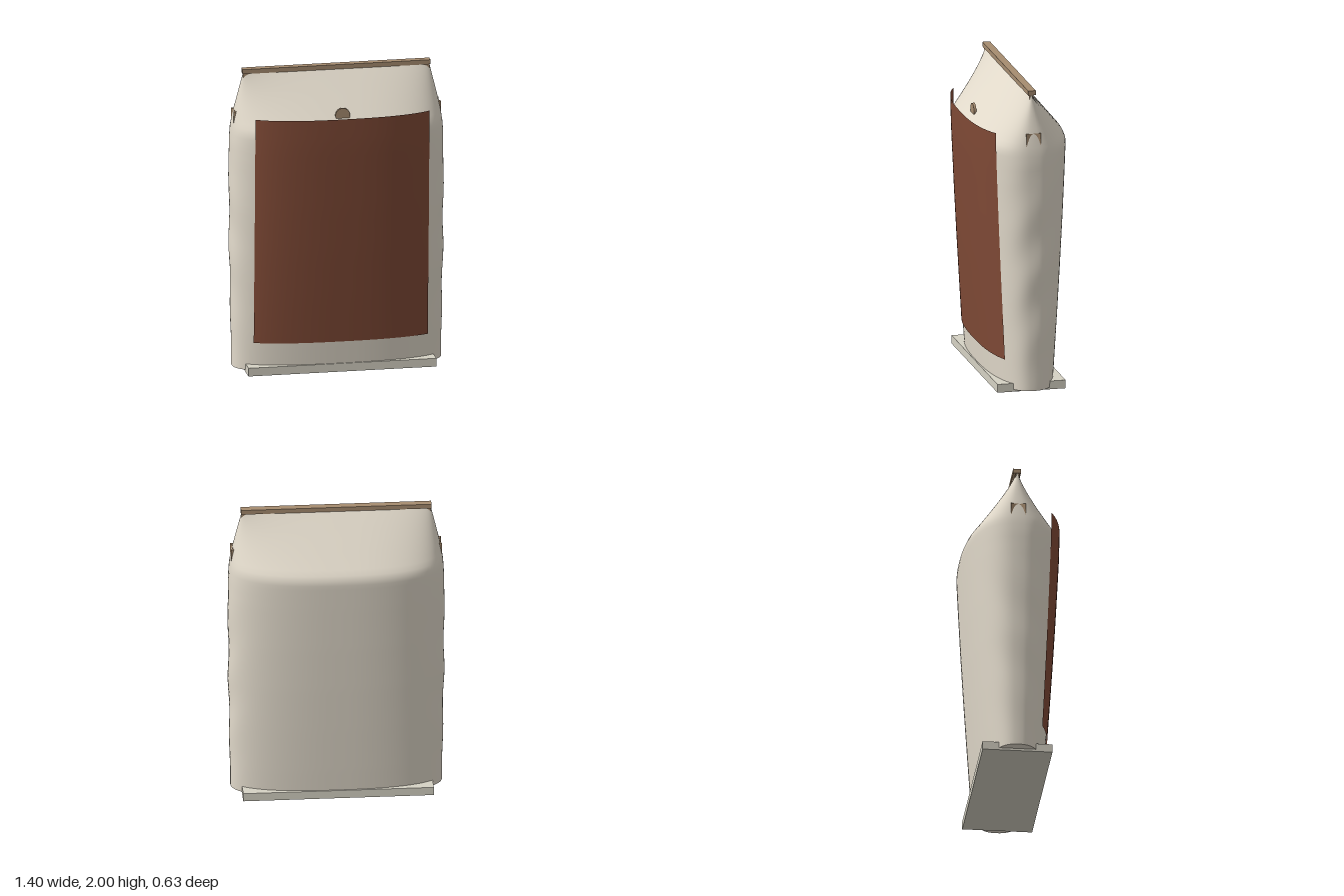
import * as THREE from 'three';

const CREAM = 0xe2dacb, KRAFT = 0xa68c70, BROWN = 0x804a36, BASE = 0xd6d2c4;
const POWER = 2.5; // superellipse exponent of the bag's cross-section

// Bag profile rows: height, half width, half depth
const PROFILE = [
  [0.015, 0.683, 0.215], [0.2, 0.687, 0.229], [0.5, 0.694, 0.25], [0.8, 0.699, 0.27],
  [1.1, 0.7, 0.288], [1.4, 0.699, 0.304], [1.52, 0.696, 0.31], [1.6, 0.69, 0.314],
  [1.63, 0.686, 0.304], [1.72, 0.67, 0.228], [1.85, 0.64, 0.12], [1.975, 0.61, 0.017],
];

function sizeAt(y) {
  let i = 0;
  while (i < PROFILE.length - 2 && y > PROFILE[i + 1][0]) i++;
  const a = PROFILE[i], b = PROFILE[i + 1], t = (y - a[0]) / (b[0] - a[0]);
  return [a[1] + (b[1] - a[1]) * t, a[2] + (b[2] - a[2]) * t];
}

const depthAt = (x, hx, hz) => hz * Math.pow(Math.max(0, 1 - Math.pow(Math.abs(x) / hx, POWER)), 1 / POWER);

function mat(color, side = THREE.FrontSide) {
  return new THREE.MeshStandardMaterial({ color, side });
}

function add(group, name, geometry, material, x = 0, y = 0, z = 0) {
  const mesh = new THREE.Mesh(geometry, material);
  mesh.name = name;
  mesh.position.set(x, y, z);
  group.add(mesh);
  return mesh;
}

// Grid surface from a point function of (u, v)
function surface(nu, nv, point) {
  const pos = [], idx = [];
  for (let j = 0; j <= nv; j++) for (let i = 0; i <= nu; i++) pos.push(...point(i / nu, j / nv));
  for (let j = 0; j < nv; j++) {
    for (let i = 0; i < nu; i++) {
      const a = j * (nu + 1) + i, b = a + 1, c = a + nu + 1, d = c + 1;
      idx.push(a, b, d, a, d, c);
    }
  }
  const g = new THREE.BufferGeometry();
  g.setAttribute('position', new THREE.Float32BufferAttribute(pos, 3));
  g.setIndex(idx);
  g.computeVertexNormals();
  return g;
}

// Point on the bag wall; the narrow sides carry faint diagonal folds
function bagPoint(angle, y) {
  const [hx, hz] = sizeAt(y);
  const c = Math.cos(angle), s = Math.sin(angle);
  const x = hx * Math.sign(s) * Math.pow(Math.abs(s), 2 / POWER);
  const z = hz * Math.sign(c) * Math.pow(Math.abs(c), 2 / POWER);
  const fade = Math.sin(Math.PI * Math.min(1, y / 1.6)) * Math.pow(Math.abs(s), 6);
  const fold = 1 - 0.006 * Math.max(0, fade) * (1 + Math.sin(y * 14 + z * 12));
  return [x * fold, y, z];
}

export function createModel() {
  const model = new THREE.Group();
  model.name = 'paperBag';

  // Pillowed bag wall, pinched flat at the top
  const wall = surface(96, 64, (u, v) => bagPoint(u * Math.PI * 2, 0.015 + v * 1.96));
  // Match normals across the seam at the front centre
  const n = wall.attributes.normal;
  for (let j = 0; j <= 64; j++) {
    const a = j * 97, b = a + 96;
    const m = new THREE.Vector3(n.getX(a) + n.getX(b), n.getY(a) + n.getY(b), n.getZ(a) + n.getZ(b)).normalize();
    n.setXYZ(a, m.x, m.y, m.z);
    n.setXYZ(b, m.x, m.y, m.z);
  }
  add(model, 'bagWall', wall, mat(CREAM, THREE.DoubleSide));

  // Flat underside of the bag
  const outline = [];
  for (let i = 0; i < 96; i++) {
    const p = bagPoint((i / 96) * Math.PI * 2, 0.015);
    outline.push(new THREE.Vector2(p[0], p[2]));
  }
  const floor = new THREE.ShapeGeometry(new THREE.Shape(outline)).rotateX(Math.PI / 2);
  add(model, 'bagFloor', floor, mat(CREAM, THREE.DoubleSide), 0, 0.015, 0);

  // Folded base: thin plate with a raised strip at front and back
  const base = mat(BASE);
  add(model, 'basePlate', new THREE.BoxGeometry(1.23, 0.02, 0.45), base, 0, 0.01, 0);
  for (const s of [1, -1]) {
    add(model, s > 0 ? 'frontBaseFold' : 'backBaseFold',
      new THREE.BoxGeometry(1.23, 0.055, 0.106), base, 0, 0.0275, s * 0.173);
  }

  // Folded top closure
  const kraft = mat(KRAFT);
  add(model, 'topStrip', new THREE.BoxGeometry(1.23, 0.03, 0.05), kraft, 0, 1.985, -0.003);
  add(model, 'topStripLowerFold', new THREE.BoxGeometry(1.22, 0.04, 0.024), kraft, 0, 1.955, 0);

  // Curved label wrapped over the front
  const label = surface(40, 24, (u, v) => {
    const x = (u * 2 - 1) * 0.57, y = 0.205 + v * 1.515;
    const hz = y < 1.55 ? sizeAt(y)[1] : 0.3115 + (y - 1.55) * 0.02;
    return [x, y, depthAt(x, 0.7, hz) + 0.006];
  });
  add(model, 'label', label, mat(BROWN, THREE.DoubleSide));

  // Round air valve half hidden behind the label
  const valve = new THREE.CylinderGeometry(0.048, 0.048, 0.016, 32).rotateX(Math.PI / 2);
  add(model, 'airValve', valve, kraft, 0, 1.722, 0.233);

  // Swallow-tailed tie tabs on both sides, bowed slightly outward at their edges
  for (const s of [1, -1]) {
    const bow = (z) => 0.668 + 0.012 * Math.pow(z / 0.048, 2);
    const outer = [], inner = [];
    for (let i = 0; i <= 6; i++) {
      const z = -0.048 + i * 0.016;
      outer.push(new THREE.Vector2(bow(z), z));
      inner.unshift(new THREE.Vector2(bow(0) * 2 - bow(z) - 0.004, z));
    }
    const g = new THREE.ExtrudeGeometry(new THREE.Shape([...outer, ...inner]), { depth: 1, bevelEnabled: false });
    const p = g.attributes.position;
    for (let i = 0; i < p.count; i++) {
      const z = p.getY(i), bottom = 1.655 - 0.035 * Math.abs(z) / 0.048;
      const y = p.getZ(i) > 0.5 ? 1.728 : bottom;
      p.setXYZ(i, s * p.getX(i), y, z);
    }
    g.computeVertexNormals();
    add(model, s > 0 ? 'leftTieTab' : 'rightTieTab', g, mat(KRAFT, THREE.DoubleSide));
  }

  return model;
}
